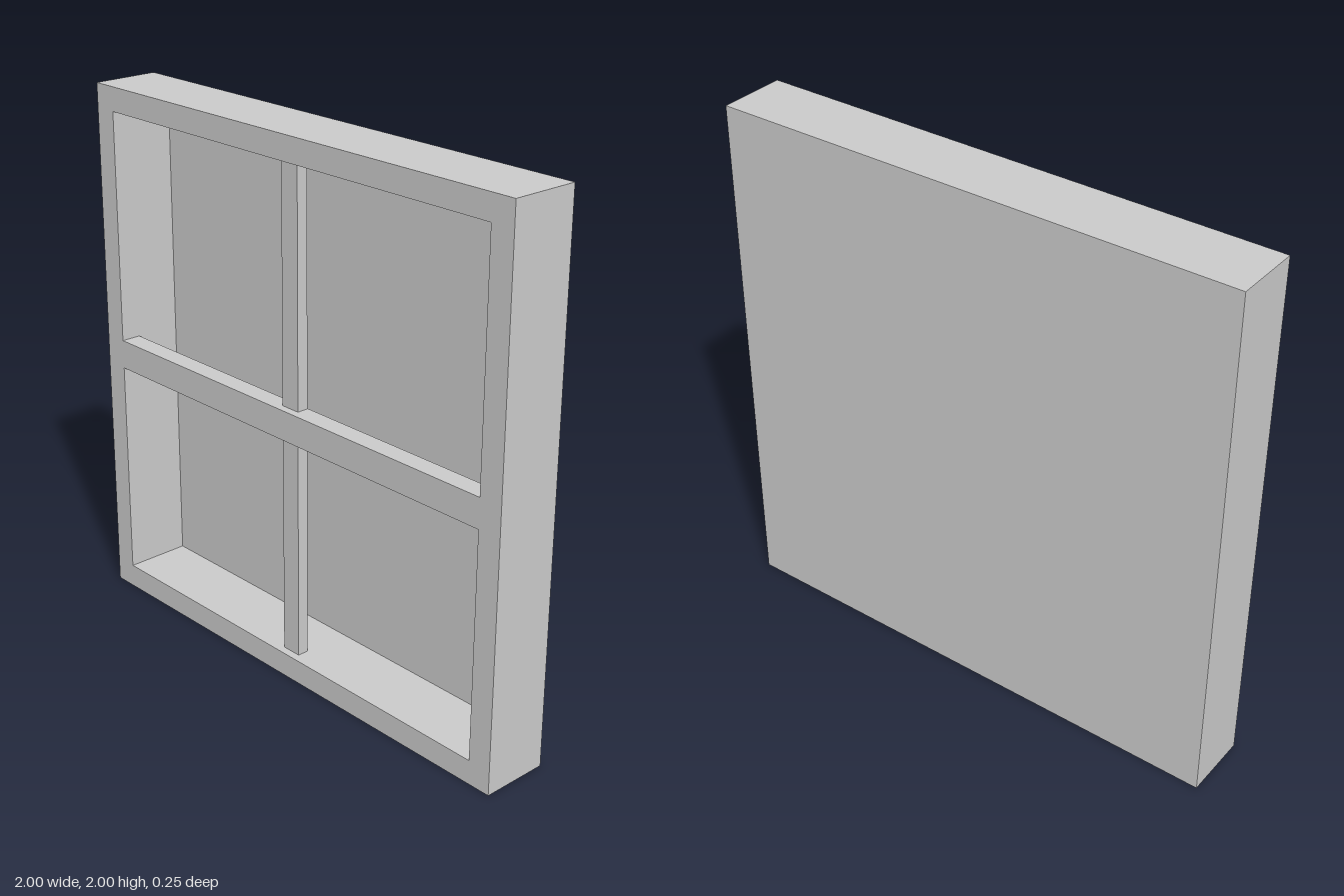
import * as THREE from 'three';

const FRONT = 0.127, BACK = -0.127;

export function createModel() {
  const group = new THREE.Group();
  const material = new THREE.MeshStandardMaterial({ color: 0xcccccc, flatShading: true });

  // Box given by its extents on each axis
  const addBox = (name, [x0, x1], [y0, y1], [z0, z1]) => {
    const mesh = new THREE.Mesh(new THREE.BoxGeometry(x1 - x0, y1 - y0, z1 - z0), material);
    mesh.position.set((x0 + x1) / 2, (y0 + y1) / 2, (z0 + z1) / 2);
    mesh.name = name;
    group.add(mesh);
  };

  // Outer frame: a square with a square opening
  const square = (Type, half) => new Type([
    new THREE.Vector2(-half, 1 - half), new THREE.Vector2(half, 1 - half),
    new THREE.Vector2(half, 1 + half), new THREE.Vector2(-half, 1 + half),
  ]);
  const outline = square(THREE.Shape, 1);
  outline.holes.push(square(THREE.Path, 0.91));
  const frame = new THREE.Mesh(
    new THREE.ExtrudeGeometry(outline, { depth: FRONT - BACK, bevelEnabled: false }), material);
  frame.position.z = BACK;
  frame.name = 'frame';
  group.add(frame);

  // Thin panel closing the back
  addBox('backPanel', [-0.91, 0.91], [0.09, 1.91], [BACK, BACK + 0.004]);

  // Cross bar flush with the frame front, uprights set slightly behind it
  addBox('crossBar', [-0.91, 0.91], [0.93, 1.04], [FRONT - 0.076, FRONT]);
  const uprightDepth = [FRONT - 0.073, FRONT - 0.03];
  addBox('lowerUpright', [-0.035, 0.043], [0.09, 0.93], uprightDepth);
  addBox('upperUpright', [-0.035, 0.043], [1.04, 1.91], uprightDepth);

  return group;
}
